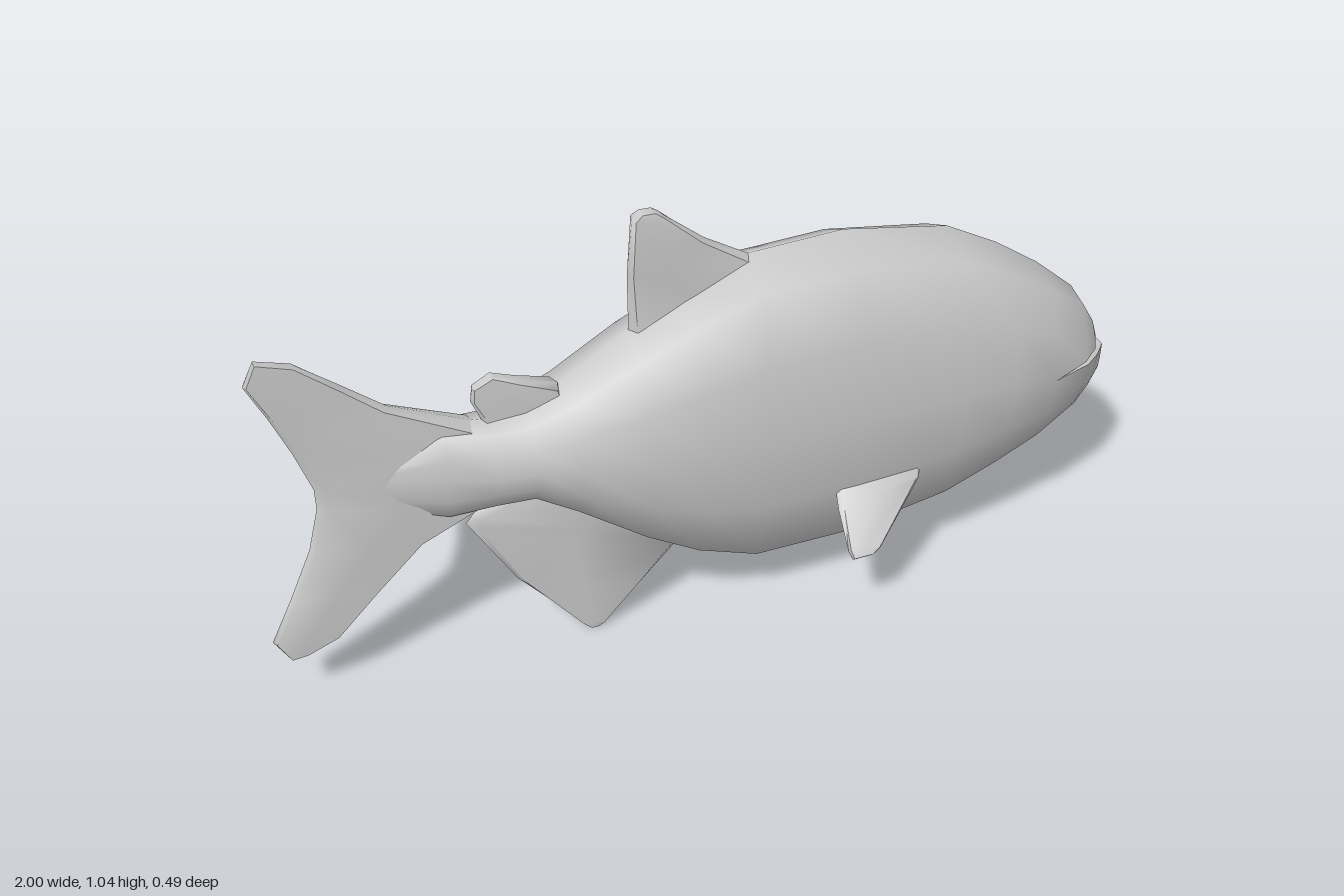
import * as THREE from 'three';
import { toCreasedNormals } from 'three/addons/utils/BufferGeometryUtils.js';

const material = new THREE.MeshStandardMaterial({ color: 0xcccccc });

// Skin a list of rings; in each ring, point i mirrors point n - i across the centre plane.
function loft(name, rings, crease = 1.2) {
  const n = rings[0].length;
  const points = rings.flat();
  const index = [];
  const quad = (a, b, c, d) => index.push(a, b, c, a, c, d);
  for (let r = 0; r < rings.length - 1; r++) {
    for (let i = 0; i < n; i++) {
      const j = (i + 1) % n;
      quad(r * n + i, r * n + j, (r + 1) * n + j, (r + 1) * n + i);
    }
  }
  // End caps, as strips between mirrored points
  const last = (rings.length - 1) * n;
  for (let i = 0; i < n / 2; i++) {
    const a = i, b = i + 1, c = n - i - 1, d = (n - i) % n;
    quad(d, c, b, a);
    quad(last + a, last + b, last + c, last + d);
  }
  // Turn faces outward if the enclosed volume is negative
  let volume = 0;
  for (let i = 0; i < index.length; i += 3) {
    const [a, b, c] = [0, 1, 2].map((k) => points[index[i + k]]);
    volume += a.dot(new THREE.Vector3().crossVectors(b, c));
  }
  if (volume < 0) index.reverse();
  const geometry = new THREE.BufferGeometry().setFromPoints(points);
  geometry.setIndex(index);
  const mesh = new THREE.Mesh(toCreasedNormals(geometry, crease), material);
  mesh.name = name;
  return mesh;
}

// Fin from rows of [frontX, frontY, backX, backY, frontHalfThickness, backHalfThickness]
function fin(name, rows) {
  const rings = rows.map(([fx, fy, bx, by, tf, tb]) => {
    const at = (u, side) => new THREE.Vector3(
      fx + (bx - fx) * u, fy + (by - fy) * u, side * (tf + (tb - tf) * u));
    return [at(0, 0), at(0.05, 1), at(0.5, 1), at(0.95, 1),
      at(1, 0), at(0.95, -1), at(0.5, -1), at(0.05, -1)];
  });
  return loft(name, rings, 1.0);
}

// Body ring: back, flank, upper lip, mouth recess, lower lip, belly
function bodyRing({ x, top, lip, w, lowX = x, lowLip = lip, bottom, lowW = w, depth = 0 }) {
  const upper = (z, t) => [x, lip + (top - lip) * t, z * w];
  const lower = (z, t) => [lowX, lowLip + (bottom - lowLip) * t, z * lowW];
  const inside = depth ? w * 0.5 : w * 0.995;
  const half = [
    upper(0, 1), upper(0.6, 0.875), upper(0.87, 0.46), upper(1, 0),
    [x - depth, lip, inside], [x - depth, lowLip, inside],
    lower(1, 0), lower(0.87, 0.46), lower(0.6, 0.875), lower(0, 1),
  ];
  const mirrored = half.slice(1, -1).reverse().map(([px, py, pz]) => [px, py, -pz]);
  return [...half, ...mirrored].map((p) => new THREE.Vector3(...p));
}

export function createModel() {
  const fish = new THREE.Group();
  fish.name = 'fish';

  // Trunk stations: x, top, bottom, half width
  const trunk = [
    [-0.76, 0.58, 0.47, 0.014], [-0.6, 0.645, 0.41, 0.055], [-0.5, 0.63, 0.425, 0.085],
    [-0.42, 0.64, 0.43, 0.108], [-0.33, 0.68, 0.37, 0.125], [-0.18, 0.77, 0.25, 0.145],
    [-0.06, 0.83, 0.17, 0.152], [0.08, 0.895, 0.11, 0.156], [0.31, 0.905, 0.108, 0.157],
    [0.56, 0.86, 0.155, 0.156], [0.69, 0.79, 0.212, 0.153],
  ].map(([x, top, bottom, w]) => ({ x, top, bottom, w, lip: (top + bottom) / 2 }));

  // Head stations, where the mouth opens and the lower jaw juts forward
  const head = [
    { x: 0.8, top: 0.715, lip: 0.477, w: 0.138, bottom: 0.262 },
    { x: 0.9, top: 0.63, lip: 0.48, w: 0.1, lowX: 0.91, lowLip: 0.468, bottom: 0.315, lowW: 0.096, depth: 0.04 },
    { x: 0.945, top: 0.555, lip: 0.484, w: 0.065, lowX: 0.96, lowLip: 0.459, bottom: 0.345, lowW: 0.055, depth: 0.06 },
    { x: 0.958, top: 0.528, lip: 0.485, w: 0.045, lowX: 1, lowLip: 0.453, bottom: 0.375, lowW: 0.012, depth: 0.06 },
  ];
  fish.add(loft('body', [...trunk, ...head].map(bodyRing)));

  // Forked tail, from lower tip to upper tip
  fish.add(fin('tailFin', [
    [-0.93, 0.128, -0.968, 0.125, 0.01, 0.01],
    [-0.855, 0.155, -1, 0.18, 0.012, 0.012],
    [-0.76, 0.25, -0.95, 0.28, 0.014, 0.012],
    [-0.65, 0.355, -0.895, 0.4, 0.018, 0.012],
    [-0.5, 0.435, -0.868, 0.5, 0.04, 0.012],
    [-0.5, 0.62, -0.868, 0.55, 0.04, 0.012],
    [-0.7, 0.715, -0.9, 0.65, 0.018, 0.012],
    [-0.79, 0.79, -0.935, 0.74, 0.014, 0.012],
    [-0.87, 0.855, -0.975, 0.83, 0.012, 0.012],
    [-0.93, 0.872, -0.948, 0.878, 0.01, 0.01],
  ]));

  // Fins on the back
  fish.add(fin('dorsalFin', [
    [0.2, 0.82, -0.18, 0.7, 0.02, 0.02],
    [0.09, 0.895, -0.18, 0.78, 0.02, 0.019],
    [-0.01, 0.955, -0.18, 0.9, 0.018, 0.018],
    [-0.1, 1.028, -0.166, 1.03, 0.017, 0.017],
    [-0.118, 1.04, -0.148, 1.041, 0.014, 0.014],
  ]));
  fish.add(fin('adiposeFin', [
    [-0.32, 0.6, -0.5, 0.58, 0.03, 0.014],
    [-0.34, 0.68, -0.51, 0.635, 0.03, 0.014],
    [-0.42, 0.708, -0.528, 0.68, 0.02, 0.013],
    [-0.478, 0.732, -0.522, 0.71, 0.014, 0.012],
  ]));

  // Fin under the belly
  fish.add(fin('analFin', [
    [-0.02, 0.25, -0.4, 0.47, 0.03, 0.03],
    [-0.07, 0.185, -0.54, 0.395, 0.022, 0.015],
    [-0.09, 0.165, -0.56, 0.37, 0.022, 0.013],
    [-0.17, 0.09, -0.455, 0.185, 0.021, 0.014],
    [-0.262, 0.008, -0.315, 0.018, 0.02, 0.018],
    [-0.275, 0, -0.295, 0, 0.018, 0.018],
  ]));

  // Paired side fins, sloping down and outward
  for (const side of [1, -1]) {
    const pectoral = fin(side > 0 ? 'leftPectoralFin' : 'rightPectoralFin', [
      [0.48, 0.04, 0.26, 0.03, 0.01, 0.01],
      [0.46, -0.012, 0.25, -0.04, 0.01, 0.01],
      [0.32, -0.145, 0.245, -0.135, 0.009, 0.009],
      [0.3, -0.155, 0.25, -0.155, 0.007, 0.007],
    ]);
    pectoral.rotation.x = -side * Math.PI / 4;
    pectoral.position.set(0, 0.31, 0.13 * side);
    fish.add(pectoral);
  }
  return fish;
}
